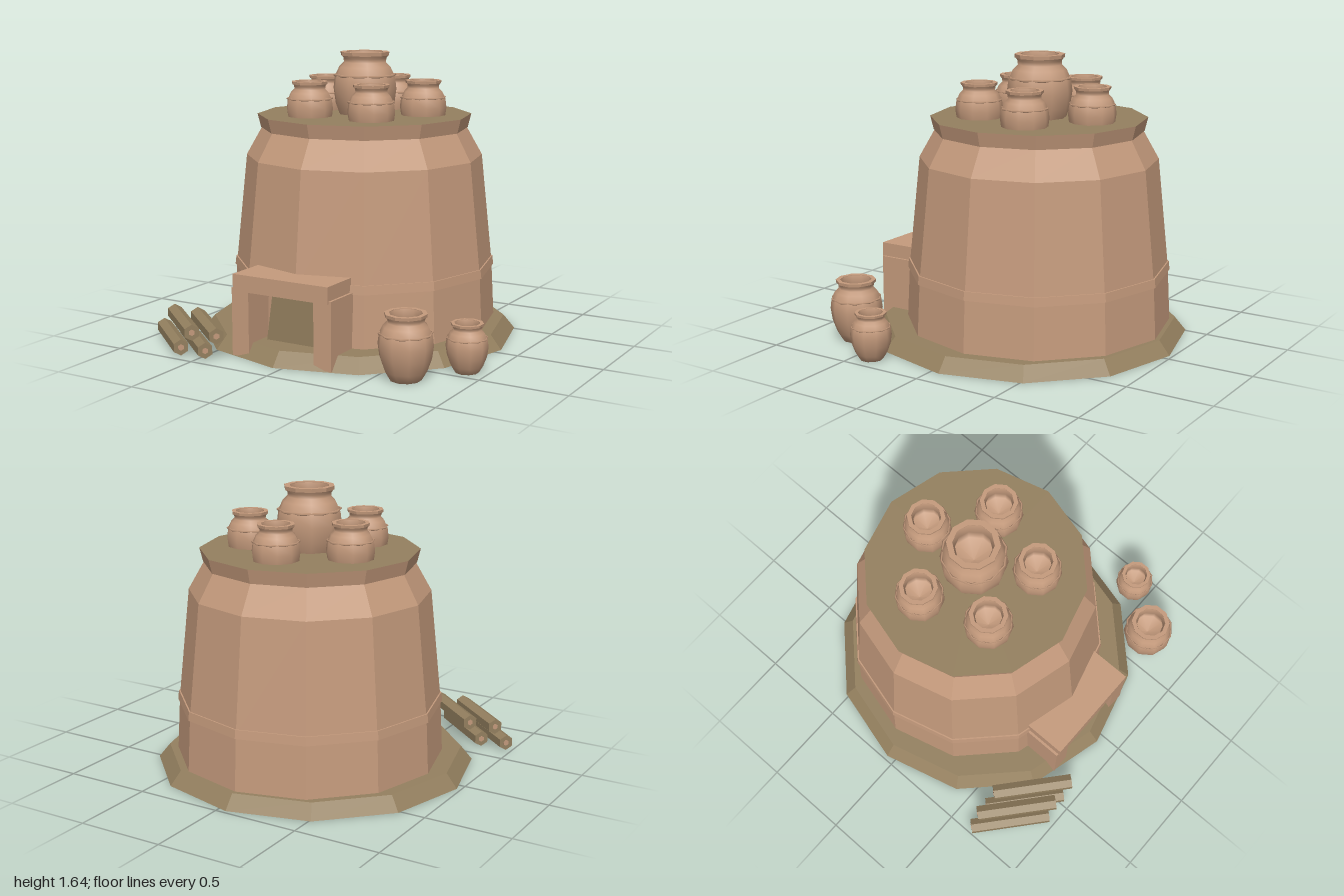
import * as THREE from 'three';

export function createModel() {
  const model = new THREE.Group();
  model.name = 'clayOven';
  const mat = (name, color, extra = {}) => new THREE.MeshStandardMaterial({ name, color, ...extra });
  const clay = mat('clay', 0xc49a7c);
  const earth = mat('earth', 0x94805f);
  const clayFlat = clay, earthFlat = earth;

  // Faceted look: split the faces so that every one has its own normal
  const flat = (geo) => {
    const g = geo.index ? geo.toNonIndexed() : geo;
    g.computeVertexNormals();
    return g;
  };
  const add = (parent, name, geo, material, x = 0, y = 0, z = 0) => {
    const m = new THREE.Mesh(geo, material);
    m.name = name;
    m.position.set(x, y, z);
    parent.add(m);
    return m;
  };
  // Twelve-sided ring between two heights
  const drum = (name, r0, r1, y0, y1, material, z, open = true) =>
    add(model, name, flat(new THREE.CylinderGeometry(r1, r0, y1 - y0, 12, 1, open)), material, -0.05, (y0 + y1) / 2, z);

  // Ground slab and stepped kiln body
  const bodyZ = -0.115;
  drum('baseSlab', 0.925, 0.86, 0, 0.08, earthFlat, -0.055, false);
  drum('lowerWall', 0.775, 0.757, 0.06, 0.4, clayFlat, bodyZ);
  drum('wallBand', 0.768, 0.762, 0.38, 0.43, clayFlat, bodyZ, false);
  drum('upperWall', 0.757, 0.69, 0.4, 1.04, clayFlat, bodyZ);
  drum('shoulder', 0.69, 0.6, 1.04, 1.2, clayFlat, bodyZ);
  drum('rim', 0.605, 0.625, 1.2, 1.28, clayFlat, bodyZ);
  const under = add(model, 'rimUnderside', new THREE.CircleGeometry(0.605, 12), clay, -0.05, 1.2, bodyZ);
  under.rotation.x = Math.PI / 2;
  const roof = add(model, 'roof', new THREE.CircleGeometry(0.625, 12), earth, -0.05, 1.28, bodyZ);
  roof.rotation.x = -Math.PI / 2;

  // Doorway: two posts, a lintel and a tapered door
  const door = new THREE.Group();
  door.name = 'doorway';
  door.position.x = -0.05;
  model.add(door);
  for (const s of [-1, 1]) {
    add(door, 'doorPost', new THREE.BoxGeometry(0.11, 0.385, 0.25), clay, s * 0.265, 0.1975, 0.665);
  }
  add(door, 'lintel', new THREE.BoxGeometry(0.61, 0.095, 0.25), clay, 0, 0.4225, 0.675);
  const panel = new THREE.Shape([[-0.17, 0.085], [0.17, 0.085], [0.13, 0.36], [-0.13, 0.36]]
    .map(([x, y]) => new THREE.Vector2(x, y)));
  add(door, 'doorPanel', new THREE.ExtrudeGeometry(panel, { depth: 0.08, bevelEnabled: false }), earth, 0, 0, 0.59);

  // Jar: belly, neck, flared lip and hollow inside
  const profile = [
    [0, 0], [0.085, 0], [0.115, 0.05], [0.14, 0.12], [0.15, 0.19], [0.143, 0.245],
    [0.122, 0.29], [0.1, 0.312], [0.102, 0.33], [0.114, 0.35],
  ].map(([r, y]) => new THREE.Vector2(r, y));
  const inside = [[0.09, 0.357], [0.08, 0.315], [0.1, 0.26], [0.1, 0.2], [0, 0.18]]
    .map(([r, y]) => new THREE.Vector2(r, y));
  const jarOutside = new THREE.LatheGeometry(profile, 10);
  const jarInside = new THREE.LatheGeometry(inside, 10);
  const ringGeo = (r, tube) => new THREE.TorusGeometry(r, tube, 4, 10).rotateX(Math.PI / 2);
  const ridge = ringGeo(0.142, 0.006);
  const lip = new THREE.LatheGeometry(
    [[0.09, 0.343], [0.114, 0.343], [0.116, 0.36], [0.09, 0.36], [0.09, 0.343]]
      .map(([r, y]) => new THREE.Vector2(r, y)), 10);
  const lipFlat = flat(lip);
  const jar = (name, x, y, z, s, h = s) => {
    const g = new THREE.Group();
    g.name = name;
    g.position.set(x, y, z);
    g.scale.set(s, h, s);
    model.add(g);
    add(g, 'jarBody', jarOutside, clay);
    add(g, 'jarInside', jarInside, clay);
    add(g, 'jarRidge', ridge, clay, 0, 0.252, 0);
    add(g, 'jarLip', lipFlat, clay);
  };

  // One large jar on the roof, ringed by five small ones set into it
  jar('largeRoofJar', -0.05, 1.19, -0.12, 1.25);
  for (let i = 0; i < 5; i++) {
    const a = (i * Math.PI * 2) / 5;
    jar('smallRoofJar', -0.05 + 0.345 * Math.sin(a), 1.153, -0.12 - 0.345 * Math.cos(a), 0.91);
  }
  // Jars standing beside the kiln
  jar('tallGroundJar', 0.66, 0, 0.68, 1);
  jar('shortGroundJar', 0.88, 0, 0.4, 0.77, 0.75);

  // Stack of four hexagonal logs
  const logGeo = flat(new THREE.CylinderGeometry(0.046, 0.046, 0.475, 6).rotateX(Math.PI / 2));
  const coreGeo = new THREE.CylinderGeometry(0.018, 0.018, 0.479, 6).rotateX(Math.PI / 2);
  for (const [x, y, z] of [[-0.79, 0.05, 0.79], [-0.635, 0.05, 0.775], [-0.72, 0.142, 0.78], [-0.56, 0.142, 0.77]]) {
    const g = new THREE.Group();
    g.name = 'log';
    g.position.set(x, y, z);
    g.rotation.y = Math.atan2(0.36, 0.31);
    model.add(g);
    add(g, 'logBark', logGeo, earth);
    add(g, 'logCore', coreGeo, clay);
  }
  return model;
}
